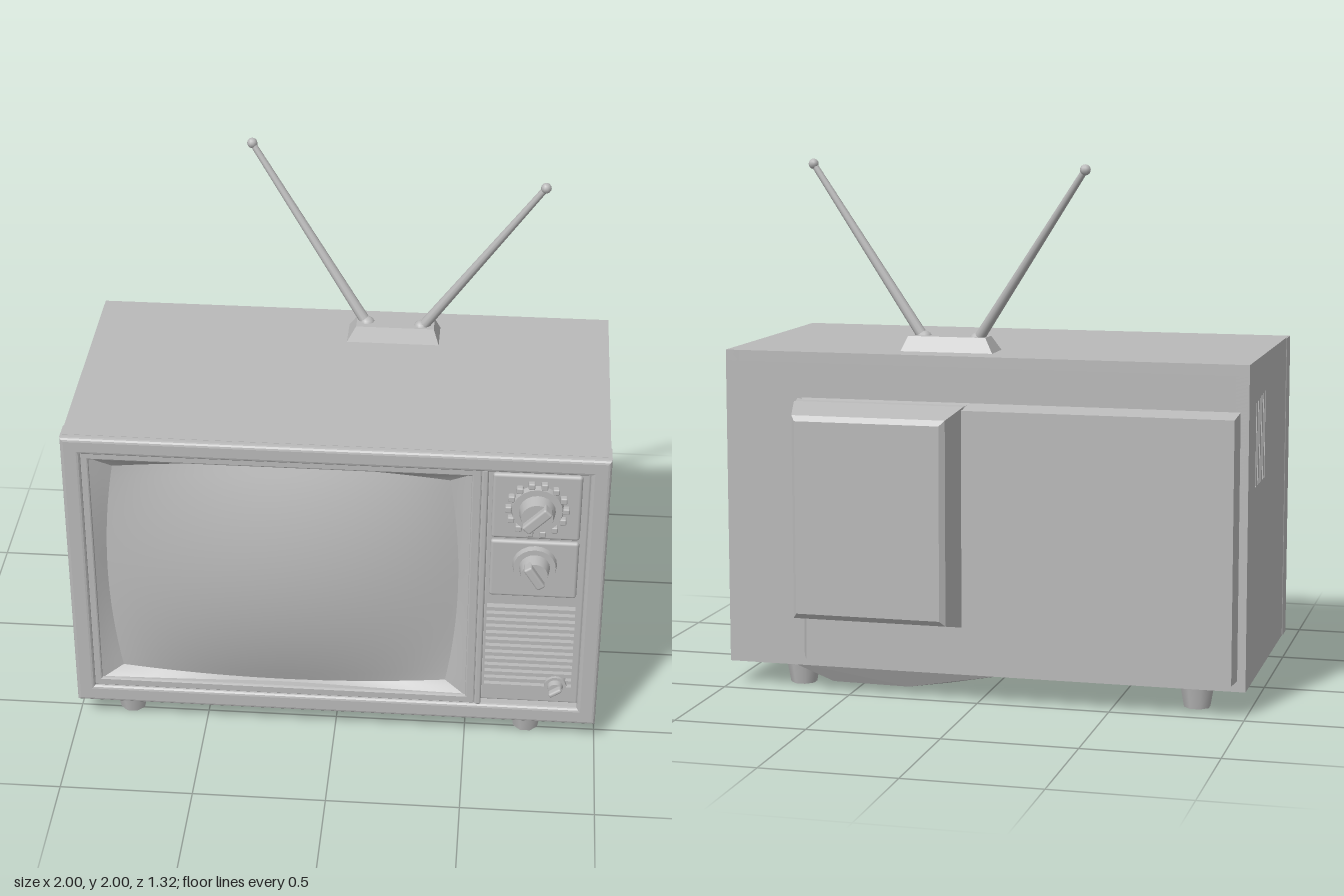
import * as THREE from 'three';
import { RoundedBoxGeometry } from 'three/addons/geometries/RoundedBoxGeometry.js';
import { ConvexGeometry } from 'three/addons/geometries/ConvexGeometry.js';

const grey = new THREE.MeshStandardMaterial({ color: 0xb9b9b9, side: THREE.DoubleSide });
grey.name = 'plain grey';

export function createModel() {
  const model = new THREE.Group();
  model.name = 'television';

  const add = (name, geometry, x = 0, y = 0, z = 0, parent = model) => {
    const mesh = new THREE.Mesh(geometry, grey);
    mesh.name = name;
    mesh.position.set(x, y, z);
    parent.add(mesh);
    return mesh;
  };
  // box given by its limits
  const block = (name, x0, x1, y0, y1, z0, z1, round = 0) => {
    const size = [x1 - x0, y1 - y0, z1 - z0];
    const geometry = round ? new RoundedBoxGeometry(...size, 2, round) : new THREE.BoxGeometry(...size);
    return add(name, geometry, (x0 + x1) / 2, (y0 + y1) / 2, (z0 + z1) / 2);
  };
  // solid between two rectangles [x0, x1, y0, y1] at two depths
  const frustum = (name, a, za, b, zb) => {
    const points = [];
    for (const [r, z] of [[a, za], [b, zb]])
      for (const x of [r[0], r[1]])
        for (const y of [r[2], r[3]]) points.push(new THREE.Vector3(x, y, z));
    return add(name, new ConvexGeometry(points));
  };
  // smooth surface from a rule f(u, v) with u, v in 0..1
  const surface = (nu, nv, f) => {
    const geometry = new THREE.PlaneGeometry(1, 1, nu, nv);
    const pos = geometry.attributes.position;
    for (let i = 0; i < pos.count; i++) pos.setXYZ(i, ...f(pos.getX(i) + 0.5, pos.getY(i) + 0.5));
    geometry.computeVertexNormals();
    return geometry;
  };
  const rect = (path, x0, x1, y0, y1) => path.moveTo(x0, y0).lineTo(x1, y0).lineTo(x1, y1).lineTo(x0, y1).closePath();
  const newRect = (Type, ...r) => { const p = new Type(); rect(p, ...r); return p; };

  // Cabinet: core, top, bottom, back and slotted sides
  block('cabinetCore', -0.95, 0.95, 0.12, 1.26, -0.42, 0.5);
  block('cabinetTop', -0.99, 0.99, 1.25, 1.29, -0.44, 0.56);
  block('cabinetBottom', -0.99, 0.99, 0.09, 0.13, -0.44, 0.56);
  block('cabinetBack', -0.99, 0.99, 0.1, 1.28, -0.44, -0.41);
  for (const side of [-1, 1]) {
    const wall = newRect(THREE.Shape, -0.56, 0.44, 0.09, 1.29);
    for (let i = 0; i < 6; i++) {
      const s = 0.045 + i * 0.042;
      wall.holes.push(newRect(THREE.Path, s, s + 0.018, 0.82, 1.15 - i * 0.004));
    }
    const geometry = new THREE.ExtrudeGeometry(wall, { depth: 0.05, bevelEnabled: false });
    geometry.rotateY(Math.PI / 2);
    add('ventedSide', geometry, side > 0 ? 0.945 : -0.995);
  }

  // Front rim with softened edges
  const rim = newRect(THREE.Shape, -0.985, 0.985, 0.105, 1.275);
  rim.holes.push(newRect(THREE.Path, -0.94, 0.94, 0.15, 1.235));
  add('frontRim', new THREE.ExtrudeGeometry(rim, {
    depth: 0.07, bevelThickness: 0.015, bevelSize: 0.014, bevelSegments: 3,
  }), 0, 0, 0.505);

  // Screen surround: thin frame, sloped bezel and bulging tube
  const frame = newRect(THREE.Shape, -0.925, 0.53, 0.165, 1.22);
  frame.holes.push(newRect(THREE.Path, -0.905, 0.505, 0.19, 1.2));
  add('screenFrame', new THREE.ExtrudeGeometry(frame, {
    depth: 0.07, bevelThickness: 0.008, bevelSize: 0.006, bevelSegments: 2,
  }), 0, 0, 0.5);
  const tube = (u, v) => [
    -0.2 + 0.66 * u * (1 - 0.06 * v * v),
    0.69 + 0.49 * v * (1 - 0.07 * u * u),
    0.535 + 0.088 * (1 - u * u) * (1 - v * v),
  ];
  add('screen', surface(24, 20, (u, v) => tube(2 * u - 1, 2 * v - 1)));
  const sides = [[1, 0], [0, 1], [-1, 0], [0, -1]];
  for (const [dx, dy] of sides) {
    add('screenBezel', surface(16, 3, (a, s) => {
      const t = 2 * a - 1;
      const u = dx || t, v = dy || t;
      const inner = tube(u, v);
      const outer = [-0.2 + 0.71 * u, 0.695 + 0.51 * v, 0.575];
      return inner.map((c, i) => c + (outer[i] - c) * s);
    }));
  }

  // Control panel with upper plate and speaker slats
  block('divider', 0.535, 0.56, 0.16, 1.23, 0.49, 0.585, 0.008);
  block('controlPanel', 0.555, 0.93, 0.16, 1.22, 0.48, 0.55, 0.01);
  block('knobPlate', 0.575, 0.9, 0.92, 1.2, 0.5, 0.563, 0.012);
  block('knobPlate', 0.575, 0.9, 0.66, 0.91, 0.5, 0.563, 0.012);
  for (let i = 0; i < 13; i++) {
    const y = 0.24 + i * 0.03;
    block('speakerSlat', 0.57, 0.9, y, y + 0.016, 0.53, 0.575);
  }

  // Knobs: ridged dial, plain dial and small button
  const knob = (name, x, y, radius, top, turn) => {
    const group = new THREE.Group();
    group.name = name;
    group.position.set(x, y, 0);
    model.add(group);
    const disc = (r0, r1, z0, z1) => {
      const geometry = new THREE.CylinderGeometry(r1, r0, z1 - z0, 20);
      geometry.rotateX(Math.PI / 2);
      add('dial', geometry, 0, 0, (z0 + z1) / 2, group);
    };
    disc(radius, radius * 0.92, 0.55, 0.585);
    disc(radius * 0.68, radius * 0.58, 0.58, top - 0.025);
    const grip = add('grip', new RoundedBoxGeometry(radius * 1.2, radius * 0.4, 0.06, 2, 0.008), 0, 0, top - 0.03, group);
    grip.rotation.z = turn;
    return group;
  };
  const channel = knob('channelKnob', 0.74, 1.06, 0.1, 0.66, 0.8);
  for (let i = 0; i < 14; i++) {
    const a = i / 14 * Math.PI * 2;
    add('dialTooth', new RoundedBoxGeometry(0.025, 0.025, 0.03, 1, 0.005), 0.105 * Math.cos(a), 0.105 * Math.sin(a), 0.57, channel);
  }
  knob('volumeKnob', 0.74, 0.81, 0.085, 0.66, -1);
  knob('powerKnob', 0.84, 0.265, 0.045, 0.632, 0.6);

  // Back cover and tube housing
  frustum('backCover', [-0.965, 0.7, 0.13, 1.12], -0.43, [-0.955, 0.66, 0.13, 1.1], -0.52);
  frustum('tubeHousing', [0.04, 0.715, 0.28, 1.115], -0.43, [0.055, 0.7, 0.29, 1.11], -0.5);
  frustum('tubeHousing', [0.05, 0.705, 0.285, 1.112], -0.5, [0.08, 0.665, 0.32, 1.08], -0.645);
  frustum('tubeHousing', [0.08, 0.665, 0.32, 1.08], -0.645, [0.1, 0.65, 0.34, 1.06], -0.66);

  // Sagging underside
  add('underside', new ConvexGeometry([
    [-0.1, 0.095, -0.42], [0.15, 0.035, -0.36], [0.3, 0.015, -0.38], [0.6, 0.018, -0.38], [0.76, 0.095, -0.42],
    [0.74, 0.095, 0.5], [0, 0.095, 0.5], [0.3, 0.035, 0],
  ].map((p) => new THREE.Vector3(...p))));

  // Feet
  for (const x of [-0.8, 0.735])
    for (const z of [0.48, -0.335]) {
      const geometry = new THREE.CylinderGeometry(0.068, 0.05, 0.1, 8);
      geometry.rotateY(Math.PI / 8);
      add('foot', geometry, x, 0.05, z);
    }

  // Aerial base and two rods with ball tips
  const base = frustum('aerialBase', [-0.02, 0.345, -0.185, -0.335], 1.28, [0.02, 0.32, -0.215, -0.3], 1.345);
  base.geometry.rotateX(-Math.PI / 2);
  base.geometry.scale(1, 1, -1);
  const p = base.geometry.attributes.position;
  const flipped = [];
  for (let i = 0; i < p.count; i += 3)
    for (const k of [i, i + 2, i + 1]) flipped.push(p.getX(k), p.getY(k), -Math.abs(p.getZ(k)));
  base.geometry = new THREE.BufferGeometry();
  base.geometry.setAttribute('position', new THREE.Float32BufferAttribute(flipped, 3));
  base.geometry.computeVertexNormals();
  const rods = [[[0.06, 1.33, -0.265], [-0.4, 1.98, -0.485]], [[0.27, 1.33, -0.25], [0.725, 1.98, -0.185]]];
  for (const [from, to] of rods) {
    const a = new THREE.Vector3(...from), b = new THREE.Vector3(...to);
    const dir = b.clone().sub(a);
    const rod = add('aerialRod', new THREE.CylinderGeometry(0.012, 0.021, dir.length(), 10));
    rod.position.copy(a).add(b).multiplyScalar(0.5);
    rod.quaternion.setFromUnitVectors(new THREE.Vector3(0, 1, 0), dir.normalize());
    add('aerialTip', new THREE.SphereGeometry(0.02, 10, 8), ...to);
    add('aerialSocket', new THREE.SphereGeometry(0.032, 10, 8), ...from);
  }
  return model;
}
